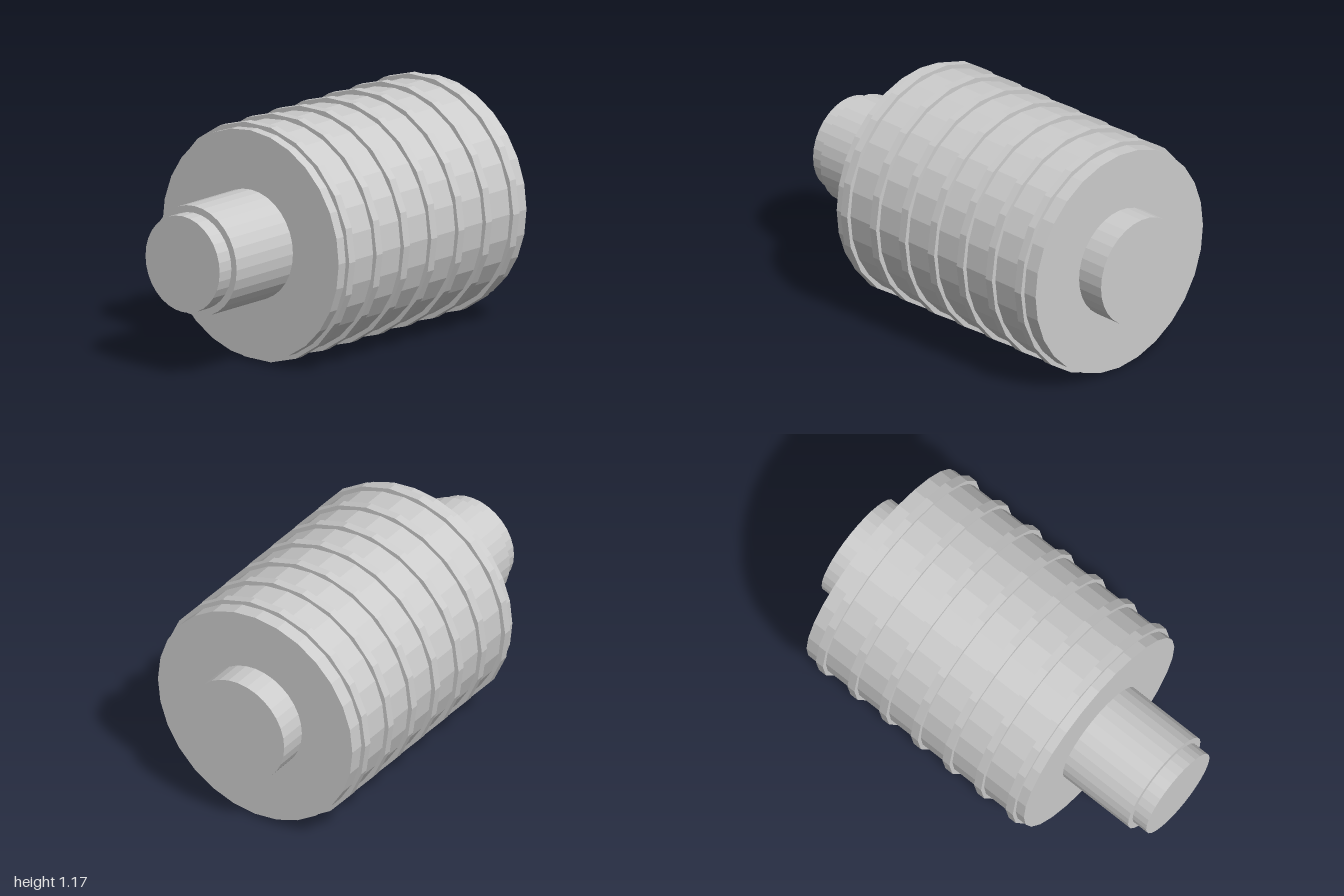
import * as THREE from 'three';

export function createModel() {
  const model = new THREE.Group();
  model.name = 'ribbedRoller';
  const metal = new THREE.MeshStandardMaterial({ color: 0xcccccc, flatShading: true });
  metal.name = 'light grey metal';
  const axisY = 0.586;

  // Faceted cylinder lying along x between two positions
  function drum(name, x0, x1, radius, sides) {
    const geometry = new THREE.CylinderGeometry(radius, radius, x1 - x0, sides);
    geometry.rotateZ(-Math.PI / 2);
    const mesh = new THREE.Mesh(geometry, metal);
    mesh.name = name;
    mesh.position.set((x0 + x1) / 2, axisY, 0);
    model.add(mesh);
  }

  // Main drum
  drum('body', -0.508, 0.85, 0.568, 28);

  // Shaft stubs and stepped tip
  drum('longShaft', -0.915, -0.508, 0.273, 32);
  drum('shaftTip', -1, -0.915, 0.239, 32);
  drum('shortShaft', 0.85, 1, 0.273, 32);

  // Seven raised ribs
  for (let i = 0; i < 7; i++) {
    const x = -0.435 + i * 0.1977;
    drum('rib' + (i + 1), x - 0.022, x + 0.022, 0.591, 22);
  }

  return model;
}
